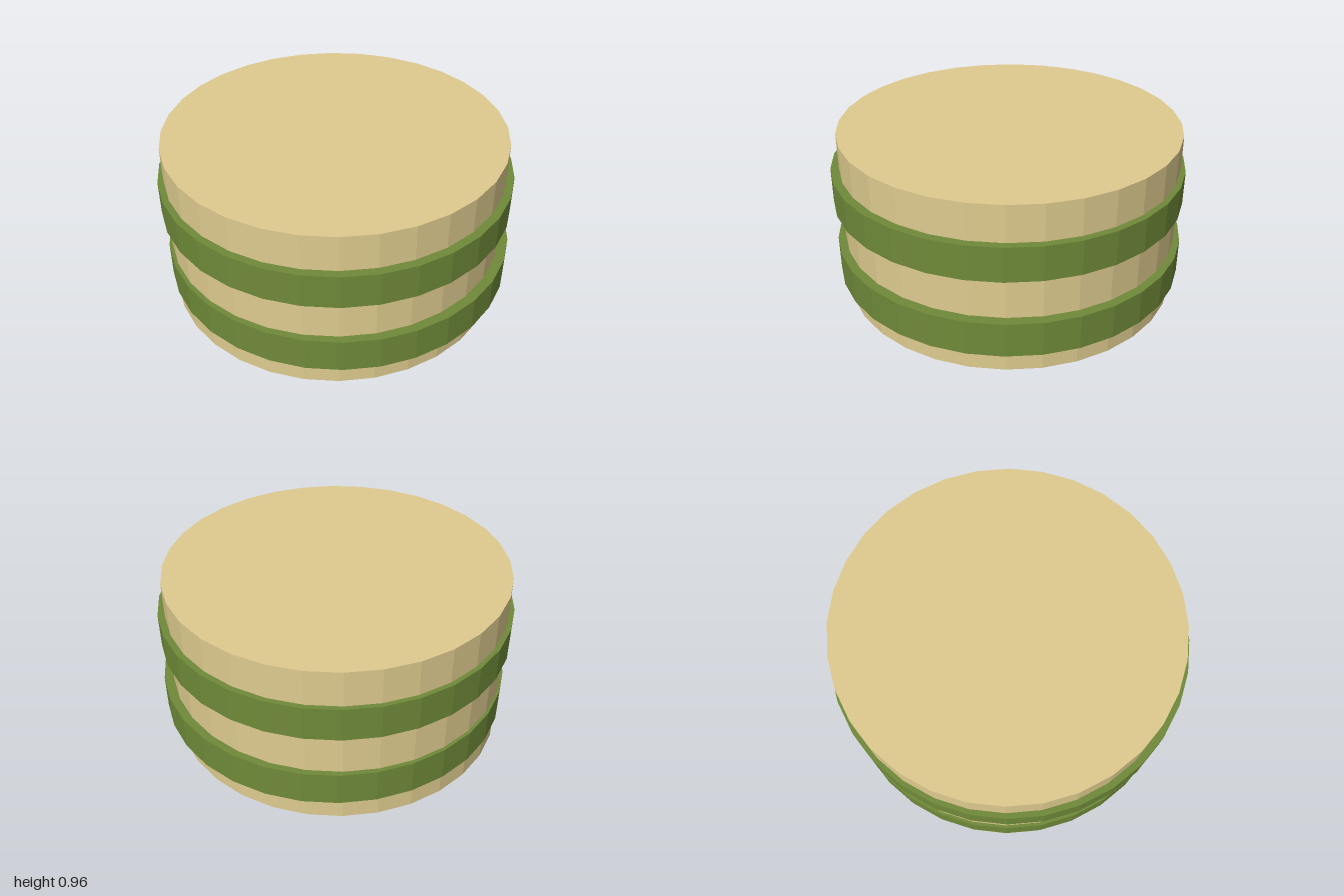
import * as THREE from 'three';

const SIDES = 32;

// Faceted solid disc spanning bottom..top, centred on (x, z)
function disc(name, color, radius, bottom, top, x, z) {
  const mesh = new THREE.Mesh(
    new THREE.CylinderGeometry(radius, radius, top - bottom, SIDES),
    new THREE.MeshStandardMaterial({ color, flatShading: true })
  );
  mesh.name = name;
  mesh.position.set(x, (bottom + top) / 2, z);
  return mesh;
}

export function createModel() {
  const group = new THREE.Group();
  group.name = 'bandedDrum';

  // Tan drum, slightly off centre from its bands
  group.add(disc('drumBody', 0xdfcc8f, 0.957, 0, 0.962, -0.01, -0.011));

  // Two green bands around the drum
  const green = 0x6f8a39;
  group.add(disc('lowerBand', green, 0.993, 0.131, 0.327, 0.007, 0));
  group.add(disc('upperBand', green, 0.993, 0.565, 0.759, -0.007, 0));

  return group;
}
